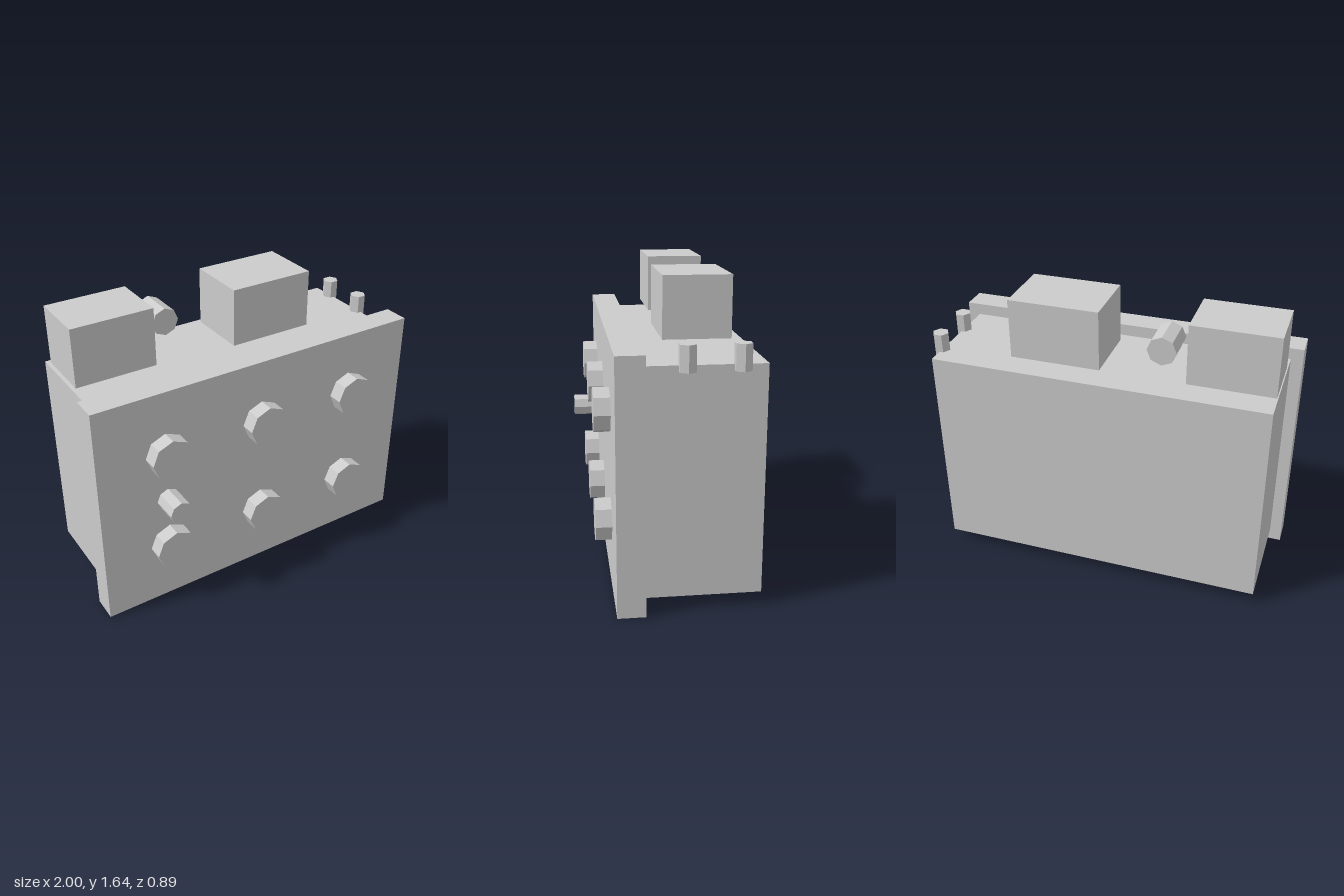
import * as THREE from 'three';

export function createModel() {
  const group = new THREE.Group();
  const material = new THREE.MeshStandardMaterial({ color: 0xcccccc, flatShading: true });

  const add = (name, geometry, x, y, z) => {
    const mesh = new THREE.Mesh(geometry, material);
    mesh.name = name;
    mesh.position.set(x, y, z);
    group.add(mesh);
    return mesh;
  };

  // Box given by its extents on each axis
  const box = (name, [x0, x1], [y0, y1], [z0, z1]) =>
    add(name, new THREE.BoxGeometry(x1 - x0, y1 - y0, z1 - z0),
      (x0 + x1) / 2, (y0 + y1) / 2, (z0 + z1) / 2);

  // Eight-sided cylinder lying along z
  const rod = (name, radius, x, y, z0, z1) =>
    add(name, new THREE.CylinderGeometry(radius, radius, z1 - z0, 8).rotateX(Math.PI / 2),
      x, y, (z0 + z1) / 2);

  // Housing and the wider face plate
  box('frontPanel', [-1, 1], [0, 1.333], [0.15, 0.297]);
  box('housing', [-0.933, 0.933], [0.07, 1.267], [-0.447, 0.15]);

  // Blocks hovering just above the housing
  box('rightTopBlock', [-0.933, -0.468], [1.305, 1.637], [-0.353, -0.022]);
  box('leftTopBlock', [0, 0.5], [1.305, 1.637], [-0.353, 0.012]);

  // Rod between the blocks
  rod('topRod', 0.079, -0.335, 1.47, -0.353, -0.155);

  // Control knobs: two rows of three, plus a small switch
  for (const x of [-0.6, 0, 0.6])
    for (const y of [0.37, 0.97]) rod('knob', 0.119, x, y, 0.29, 0.382);
  rod('switch', 0.066, -0.6, 0.67, 0.29, 0.447);

  // Hexagonal terminal posts at the left edge
  for (const z of [-0.053, -0.32])
    add('terminalPost', new THREE.CylinderGeometry(0.046, 0.046, 0.134, 6).rotateY(Math.PI / 2),
      0.933, 1.303, z);

  return group;
}
